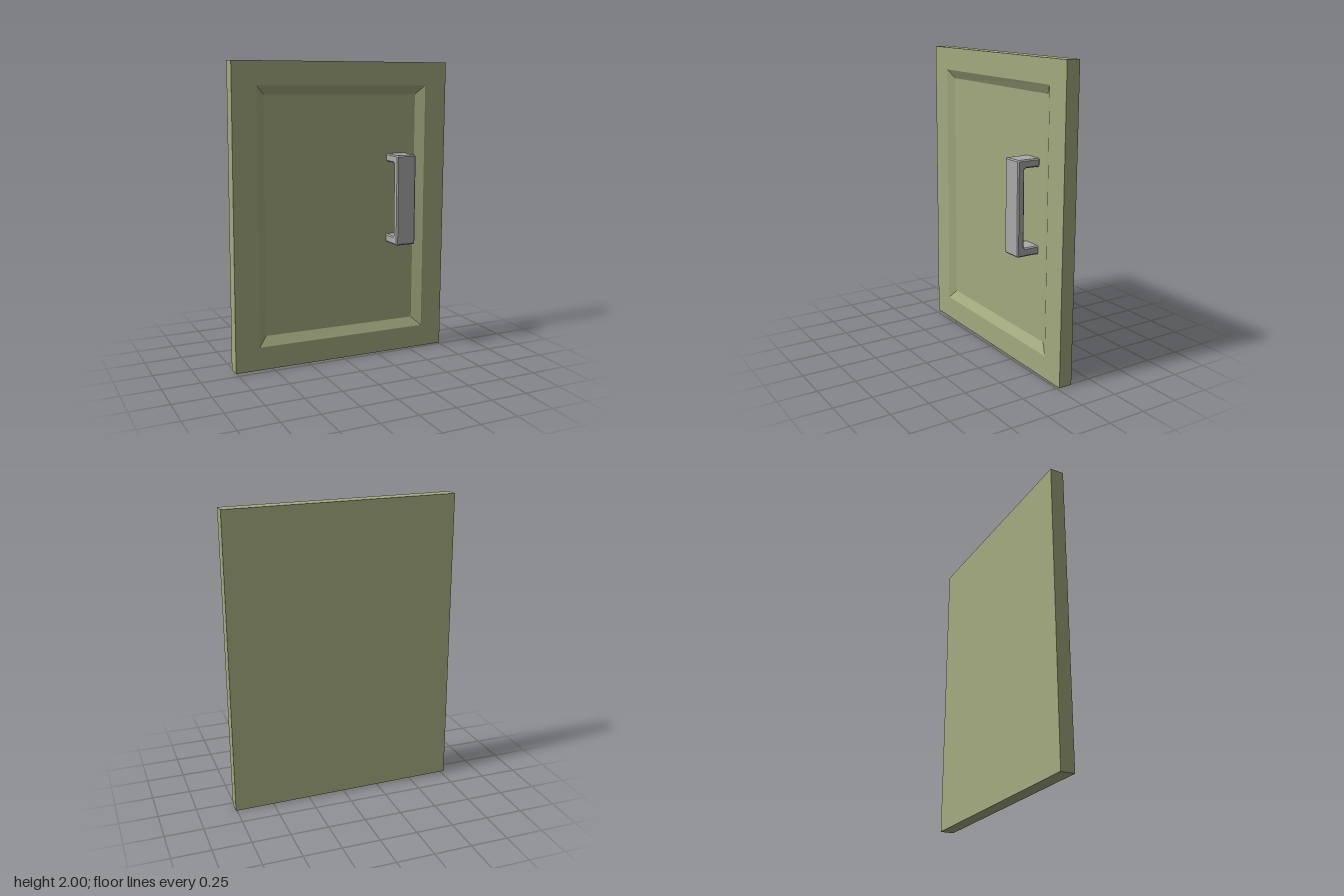
import * as THREE from 'three';

const FRONT = -0.016, FLOOR = -0.048, BACK = -0.107;

// Slightly crooked rectangles: bottom left, bottom right, top right, top left
const EDGE = [[-0.765, 0.015], [0.758, 0.002], [0.763, 1.988], [-0.749, 2.0]];
const RIM = [[-0.602, 0.168], [0.602, 0.155], [0.605, 1.837], [-0.59, 1.847]];
const FIELD = [[-0.545, 0.23], [0.538, 0.217], [0.545, 1.778], [-0.533, 1.79]];

const atDepth = (ring, z) => ring.map(([x, y]) => new THREE.Vector3(x, y, z));

// Strips between consecutive rings, then a cap on the first and last ring
function ringSolid(rings) {
  const points = [];
  const quad = (a, b, c, d) => points.push(a, b, c, a, c, d);
  for (let r = 0; r < rings.length - 1; r++) {
    for (let i = 0; i < 4; i++) {
      const j = (i + 1) % 4;
      quad(rings[r][i], rings[r][j], rings[r + 1][j], rings[r + 1][i]);
    }
  }
  const [a, b, c, d] = rings[0];
  quad(d, c, b, a);
  quad(...rings[rings.length - 1]);
  const geometry = new THREE.BufferGeometry().setFromPoints(points);
  geometry.computeVertexNormals();
  return geometry;
}

// Bracket outline in (z, y), with small cut corners, extruded across x
function handleGeometry() {
  const foot = FLOOR - 0.006, c = 0.008;
  const outer = 0.107, inner = 0.058;
  const bottom = 0.78, top = 1.385, low = 0.835, high = 1.332;
  const shape = new THREE.Shape([
    [foot, bottom], [outer - c, bottom], [outer, bottom + c],
    [outer, top - c], [outer - c, top], [foot, top],
    [foot, high], [inner - c, high], [inner, high - c],
    [inner, low + c], [inner - c, low], [foot, low],
  ].map(([z, y]) => new THREE.Vector2(z, y)));
  const bevel = 0.008, width = 0.14;
  const geometry = new THREE.ExtrudeGeometry(shape, {
    depth: width - 2 * bevel, bevelEnabled: true, bevelSegments: 1,
    bevelSize: bevel, bevelThickness: bevel, bevelOffset: -bevel,
  });
  geometry.rotateY(-Math.PI / 2);
  geometry.translate(0.472 - bevel, 0, 0);
  return geometry;
}

export function createModel() {
  const paint = new THREE.MeshStandardMaterial({ color: 0xa3aa7f });
  paint.name = 'sage green paint';
  const metal = new THREE.MeshStandardMaterial({ color: 0xaaaaaa });
  metal.name = 'grey metal';

  const group = new THREE.Group();
  group.name = 'cabinetDoor';

  // Door slab with a bevelled, recessed centre field
  const door = new THREE.Mesh(ringSolid([
    atDepth(EDGE, BACK), atDepth(EDGE, FRONT), atDepth(RIM, FRONT), atDepth(FIELD, FLOOR),
  ]), paint);
  door.name = 'doorPanel';

  // Pull handle standing on the recessed field
  const handle = new THREE.Mesh(handleGeometry(), metal);
  handle.name = 'handle';

  group.add(door, handle);
  return group;
}
